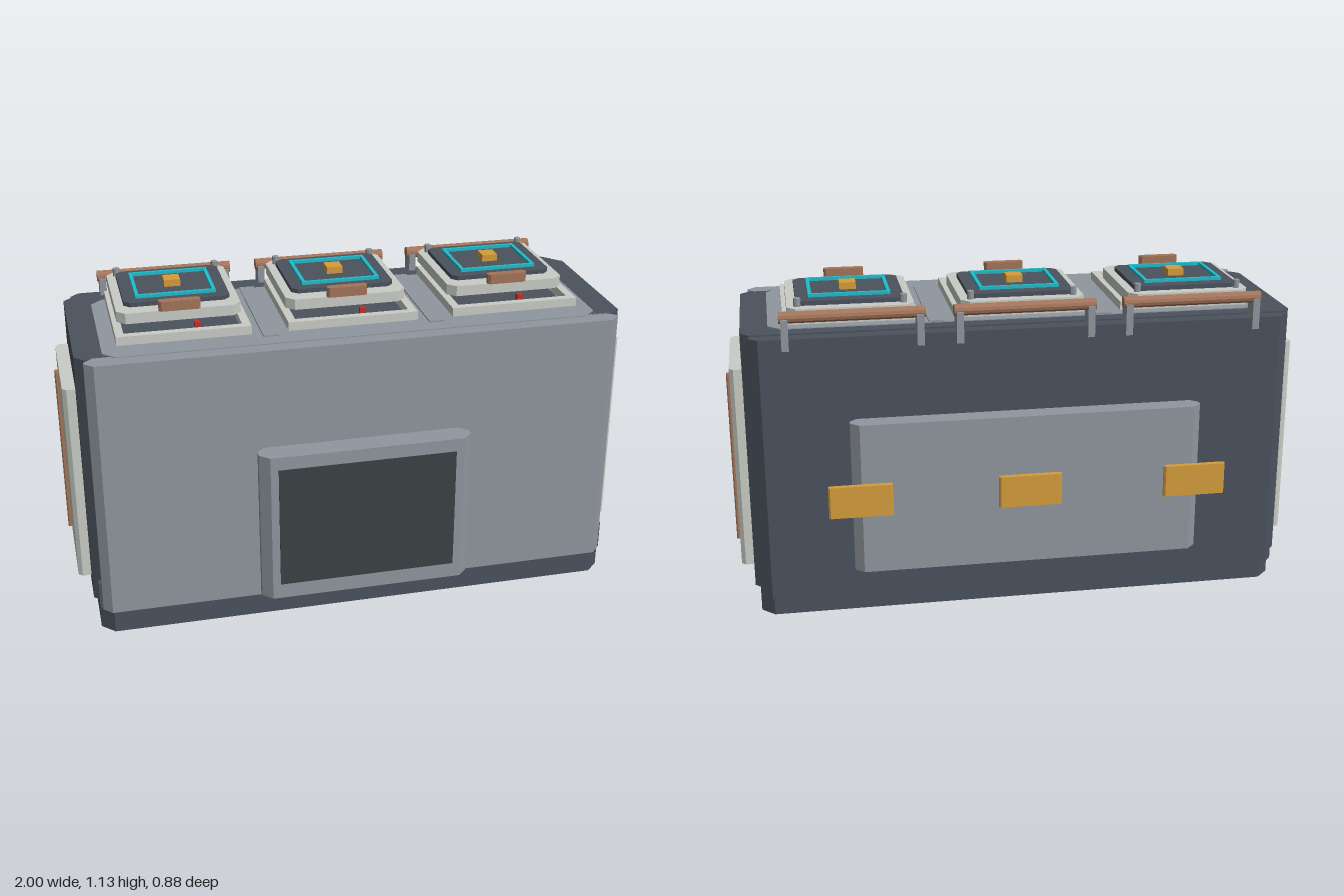
import * as THREE from 'three';

const paint = (color) => new THREE.MeshStandardMaterial({ color, flatShading: true });
const DARK = paint(0x4b525d), GREY = paint(0x90979e), LIGHT = paint(0xcacdc6);
const COPPER = paint(0xa3745a), GOLD = paint(0xd69d3c), CYAN = paint(0x22bccb);
const BLACK = paint(0x3b4145), RED = paint(0xc0302a);

// Rectangle in plan with cut corners
function plan(Kind, w, d, c) {
  const x = w / 2, z = d / 2;
  const p = c > 0
    ? [[-x + c, -z], [x - c, -z], [x, -z + c], [x, z - c], [x - c, z], [-x + c, z], [-x, z - c], [-x, -z + c]]
    : [[-x, -z], [x, -z], [x, z], [-x, z]];
  return new Kind(p.map(([a, b]) => new THREE.Vector2(a, b)));
}

// Upright slab between two corners; c cuts its vertical edges, rim leaves only a border
function slab(parent, name, material, [x0, x1], [y0, y1], [z0, z1], c = 0, rim = 0) {
  const w = x1 - x0, d = z1 - z0;
  const shape = plan(THREE.Shape, w, d, c);
  if (rim) shape.holes.push(plan(THREE.Path, w - 2 * rim, d - 2 * rim, c / 2));
  const geometry = new THREE.ExtrudeGeometry(shape, { depth: y1 - y0, bevelEnabled: false });
  geometry.rotateX(-Math.PI / 2);
  const mesh = new THREE.Mesh(geometry, material);
  mesh.position.set((x0 + x1) / 2, y0, (z0 + z1) / 2);
  mesh.name = name;
  parent.add(mesh);
  return mesh;
}

// One roof hatch, built around x = 0
function hatch() {
  const g = new THREE.Group();
  g.name = 'hatch';
  slab(g, 'hatchWell', DARK, [-0.2, 0.2], [1.0, 1.015], [-0.2, 0.195], 0.02);
  slab(g, 'hatchFrame', LIGHT, [-0.225, 0.225], [1.02, 1.05], [-0.225, 0.222], 0, 0.028);
  slab(g, 'warningLamp', RED, [0.05, 0.07], [1.01, 1.035], [0.09, 0.11]);
  slab(g, 'lid', LIGHT, [-0.21, 0.21], [1.055, 1.092], [-0.295, 0.125], 0.028);
  slab(g, 'lidPad', DARK, [-0.18, 0.18], [1.09, 1.107], [-0.255, 0.068], 0.02);
  slab(g, 'lightStrip', CYAN, [-0.137, 0.137], [1.105, 1.118], [-0.207, 0.03], 0, 0.012);
  slab(g, 'lidButton', GOLD, [-0.028, 0.028], [1.105, 1.131], [-0.119, -0.062]);
  slab(g, 'lidHandle', COPPER, [-0.07, 0.07], [1.092, 1.126], [0.104, 0.134], 0.008);

  // Hinge rail with its brackets and the lid pins
  const rail = new THREE.Mesh(new THREE.CylinderGeometry(0.02, 0.02, 0.48, 12), COPPER);
  rail.rotation.z = Math.PI / 2;
  rail.position.set(0, 1.073, -0.322);
  rail.name = 'hingeRail';
  g.add(rail);
  for (const s of [-1, 1]) {
    slab(g, 'railBracket', GREY, [s * 0.222 - 0.012, s * 0.222 + 0.012], [0.965, 1.07], [-0.35, -0.293]);
    const pin = new THREE.Mesh(new THREE.CylinderGeometry(0.012, 0.012, 0.03, 8), GREY);
    pin.position.set(s * 0.175, 1.105, -0.258);
    pin.name = 'lidPin';
    g.add(pin);
  }
  return g;
}

export function createModel() {
  const model = new THREE.Group();
  model.name = 'container';

  // Main housing
  slab(model, 'base', DARK, [-0.925, 0.925], [0, 0.1], [-0.305, 0.342], 0.045);
  slab(model, 'frontSkirt', DARK, [-0.925, 0.925], [0.08, 0.18], [0.28, 0.31]);
  slab(model, 'body', DARK, [-0.942, 0.942], [0.1, 1.01], [-0.295, 0.292], 0.03);
  slab(model, 'backWall', DARK, [-0.915, 0.915], [0.08, 1.005], [-0.346, -0.275], 0.03);
  slab(model, 'frontWall', GREY, [-0.915, 0.915], [0.085, 1.01], [0.285, 0.355], 0.03);
  slab(model, 'roofDeck', GREY, [-0.85, 0.85], [0.99, 1.013], [-0.24, 0.3], 0.04);

  // Front window and back panel
  slab(model, 'windowFrame', GREY, [-0.37, 0.37], [0.115, 0.66], [0.35, 0.44], 0.033);
  slab(model, 'window', BLACK, [-0.31, 0.31], [0.17, 0.613], [0.43, 0.442]);
  slab(model, 'backPanel', GREY, [-0.6, 0.6], [0.19, 0.72], [-0.417, -0.34], 0.03);

  // Side panels with their strips
  for (const s of [-1, 1]) {
    const span = (a, b) => (s > 0 ? [a, b] : [-b, -a]);
    slab(model, 'sidePanel', LIGHT, span(0.93, 0.986), [0.155, 0.87], [-0.21, 0.2], 0.014);
    slab(model, 'sideStrip', COPPER, span(0.98, 1.0), [0.207, 0.82], [-0.1, -0.072], 0.004);
  }

  // Roof dividers
  for (const x of [-0.288, 0.288])
    slab(model, 'roofDivider', GREY, [x - 0.026, x + 0.026], [1.0, 1.018], [-0.24, 0.24]);

  // Hatches and the plates behind them
  for (const x of [-0.575, 0, 0.575]) {
    const h = hatch();
    h.position.x = x;
    model.add(h);
    slab(model, 'backPlate', GOLD, [x - 0.108, x + 0.108], [0.405, 0.515], [-0.442, -0.422], 0.006);
  }
  return model;
}
